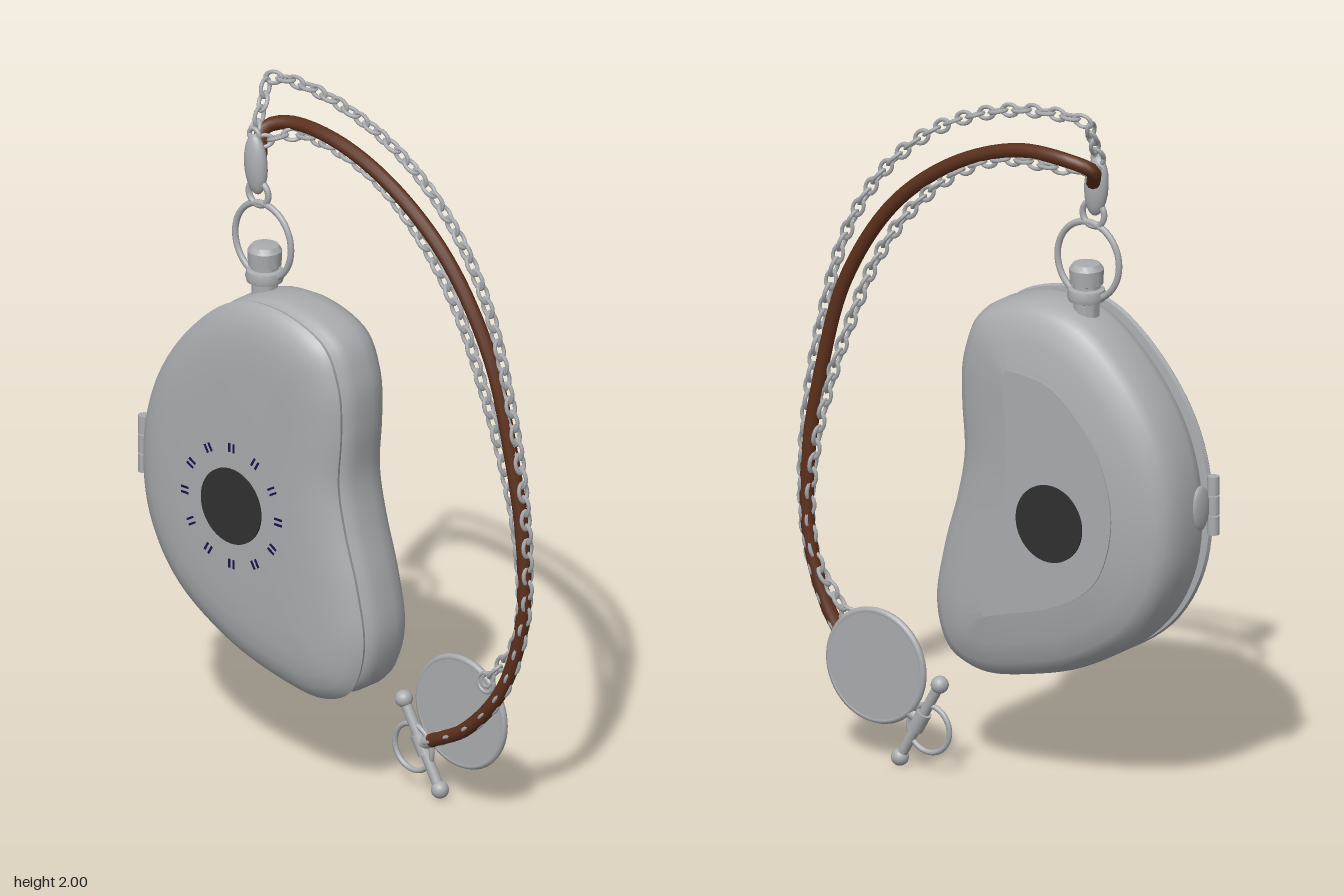
import * as THREE from 'three';
import { mergeGeometries, toCreasedNormals } from 'three/addons/utils/BufferGeometryUtils.js';

const V = (x, y, z = 0) => new THREE.Vector3(x, y, z);

// Case outline and the matching outline of its flat centre
const OUTER = [[-.14, 1.41], [-.31, 1.375], [-.47, 1.235], [-.575, 1.065], [-.615, .875], [-.59, .67],
  [-.48, .495], [-.28, .37], [-.07, .31], [.06, .305], [.155, .36], [.195, .495], [.17, .655],
  [.125, .81], [.10, .945], [.11, 1.10], [.10, 1.235], [.035, 1.355]];
const INNER = [[-.13, 1.22], [-.24, 1.20], [-.33, 1.13], [-.41, 1.02], [-.45, .87], [-.43, .73],
  [-.37, .635], [-.25, .565], [-.12, .525], [-.05, .505], [-.02, .50], [-.02, .54], [-.05, .66],
  [-.08, .79], [-.10, .93], [-.10, 1.06], [-.085, 1.16], [-.09, 1.21]];
const closed = (pts) => new THREE.CatmullRomCurve3(pts.map((p) => V(...p)), true, 'catmullrom');

// Loft from front to back; each ring is [blend from outer to inner outline, z]
function loft(rings) {
  const N = 108, a = closed(OUTER), b = closed(INNER), pos = [], idx = [];
  for (const [t, z] of rings) {
    for (let j = 0; j < N; j++) {
      const p = a.getPoint(j / N).lerp(b.getPoint(j / N), t);
      pos.push(p.x, p.y, z);
    }
  }
  const last = rings.length - 1, front = rings.length * N, back = front + 1;
  pos.push(-.24, .83, rings[0][1], -.24, .83, rings[last][1]);
  for (let j = 0; j < N; j++) {
    const k = (j + 1) % N;
    idx.push(front, j, k, back, last * N + k, last * N + j);
    for (let i = 0; i < last; i++) {
      const r = i * N, s = r + N;
      idx.push(r + j, s + j, r + k, r + k, s + j, s + k);
    }
  }
  const g = new THREE.BufferGeometry();
  g.setAttribute('position', new THREE.Float32BufferAttribute(pos, 3));
  g.setIndex(idx);
  g.computeVertexNormals();
  return toCreasedNormals(g, .75);
}

// Interlocking oval links along a path, each turned a quarter from the last
function chainGeometry(curve, pitch = .041) {
  const count = Math.round(curve.getLength() / pitch), links = [];
  for (let i = 0; i <= count; i++) {
    const u = i / count, t = curve.getTangentAt(u);
    const side = V(0, 0, 1).cross(t).normalize(), up = t.clone().cross(side);
    const m = i % 2
      ? new THREE.Matrix4().makeBasis(t, up, side.clone().negate())
      : new THREE.Matrix4().makeBasis(t, side, up);
    m.setPosition(curve.getPointAt(u));
    links.push(new THREE.TorusGeometry(.0165, .0058, 6, 14).scale(1.5, 1, 1).applyMatrix4(m));
  }
  return mergeGeometries(links);
}

export function createModel() {
  const root = new THREE.Group();
  root.name = 'pocketWatch';
  const mat = (name, color) => {
    const m = new THREE.MeshStandardMaterial({ color });
    m.name = name;
    return m;
  };
  const silver = mat('silver', 0xa9abae), leather = mat('brownLeather', 0x5c301c);
  const dark = mat('darkGlass', 0x303030), navy = mat('navy', 0x16164c);
  const add = (name, geo, material, x = 0, y = 0, z = 0, parent = root) => {
    const mesh = new THREE.Mesh(geo, material);
    mesh.name = name;
    mesh.position.set(x, y, z);
    parent.add(mesh);
    return mesh;
  };
  const path = (pts) => new THREE.CatmullRomCurve3(pts.map(([x, y, z = -.12]) => V(x, y, z)));

  // Case: rounded body with a domed back panel, and the cover in front
  add('caseBody', loft([[.25, .08], [.1, .072], [.03, .057], [0, .03], [0, -.035], [.04, -.07],
    [.12, -.098], [.25, -.115], [.55, -.133], [1, -.148], [1, -.152]]), silver);
  add('frontCover', loft([[1, .15], [.6, .147], [.35, .14], [.17, .128], [.05, .112], [0, .1],
    [.02, .088], [.06, .087]]), silver);

  // Round windows front and back
  for (const [name, z] of [['frontWindow', .152], ['backWindow', -.154]]) {
    add(name, new THREE.CylinderGeometry(.11, .11, .006, 48).rotateX(Math.PI / 2), dark, -.246, .807, z);
  }

  // Hour marks around the front window
  const marks = new THREE.Group();
  marks.name = 'hourMarks';
  marks.position.set(-.246, .807, .1495);
  root.add(marks);
  for (let i = 0; i < 12; i++) {
    const a = i * Math.PI / 6;
    for (const s of [-.008, .008]) {
      const m = add('hourMark', new THREE.BoxGeometry(.006, .026, .006), navy,
        .172 * Math.sin(a) + s * Math.cos(a), .172 * Math.cos(a) - s * Math.sin(a), 0, marks);
      m.rotation.z = -a;
    }
  }

  // Hinge on the case edge
  for (let i = 0; i < 3; i++) {
    add('hingeKnuckle', new THREE.CylinderGeometry(.017, .017, .053, 16), silver, -.624, .811 + i * .057, .09);
  }
  add('hingeLeaf', new THREE.SphereGeometry(1, 16, 10).scale(.014, .065, .04), silver, -.612, .868, .045);

  // Winding stem and crown
  const crown = [[.036, 1.34], [.036, 1.415], [.05, 1.42], [.054, 1.435], [.05, 1.452], [.038, 1.456],
    [.038, 1.465], [.046, 1.468], [.048, 1.51], [.038, 1.525], [0, 1.53]];
  add('crown', toCreasedNormals(new THREE.LatheGeometry(crown.map((p) => new THREE.Vector2(...p)), 28), .6),
    silver, -.272, 0, -.013);
  add('bowRing', new THREE.TorusGeometry(.103, .009, 10, 48).scale(1, 1.07, 1), silver, -.278, 1.535, -.013);

  // Clasp joining the bow to the chains
  add('claspRing', new THREE.TorusGeometry(.036, .009, 8, 28), silver, -.295, 1.672, -.013);
  add('clasp', new THREE.SphereGeometry(1, 20, 14).scale(.037, .088, .026), silver, -.305, 1.755, -.013)
    .rotation.z = .08;
  add('claspEye', new THREE.TorusGeometry(.018, .007, 8, 20), silver, -.315, 1.838, -.018);

  // Leather cord
  const cord = path([[-.31, 1.77, -.035], [-.345, 1.825, -.09], [-.29, 1.85], [-.12, 1.85], [.09, 1.775],
    [.30, 1.615], [.46, 1.37], [.54, 1.10], [.585, .84], [.58, .60], [.51, .39, -.115],
    [.38, .24, -.112], [.25, .168, -.115]]);
  add('leatherCord', new THREE.TubeGeometry(cord, 110, .02, 10), leather);

  // Long chain down to the toggle, short chain down to the tag
  add('longChain', chainGeometry(path([[-.32, 1.85, -.025], [-.33, 1.90, -.065], [-.345, 1.965, -.11],
    [-.30, 1.977], [-.1, 1.962], [.14, 1.87], [.33, 1.71], [.46, 1.50], [.54, 1.235], [.585, 1.0],
    [.602, .78], [.588, .6], [.515, .39, -.115], [.385, .245, -.112], [.25, .168, -.115]])), silver);
  add('shortChain', chainGeometry(path([[-.31, 1.81, -.05], [-.25, 1.825], [-.07, 1.815], [.09, 1.745],
    [.25, 1.60], [.36, 1.44], [.44, 1.26], [.51, 1.07], [.56, .88], [.58, .66], [.555, .54],
    [.50, .46], [.455, .405]])), silver);

  // Round tag with a raised rim and a jump ring
  add('tag', new THREE.CylinderGeometry(.158, .158, .018, 48).rotateX(Math.PI / 2), silver, .352, .28, -.127);
  add('tagRim', new THREE.TorusGeometry(.156, .0105, 8, 56), silver, .352, .28, -.127);
  add('tagJumpRing', new THREE.TorusGeometry(.028, .006, 8, 24), silver, .448, .395, -.12);

  // Toggle bar with ball ends and its ring
  const toggle = new THREE.Group();
  toggle.name = 'toggle';
  toggle.position.set(.211, .145, -.12);
  toggle.rotation.z = Math.atan2(.133, .232);
  root.add(toggle);
  add('toggleBar', new THREE.CylinderGeometry(.015, .015, .25, 16), silver, 0, 0, 0, toggle);
  add('toggleCollar', new THREE.CylinderGeometry(.022, .022, .06, 16), silver, 0, 0, 0, toggle);
  for (const s of [-1, 1]) {
    add('toggleBall', new THREE.SphereGeometry(.025, 18, 12), silver, 0, s * .134, 0, toggle);
  }
  add('toggleRing', new THREE.TorusGeometry(.068, .008, 8, 36), silver, .18, .128, -.12);
  add('cordEnd', new THREE.CylinderGeometry(.02, .016, .06, 14), silver, .232, .158, -.117).rotation.z = -1.05;
  return root;
}
